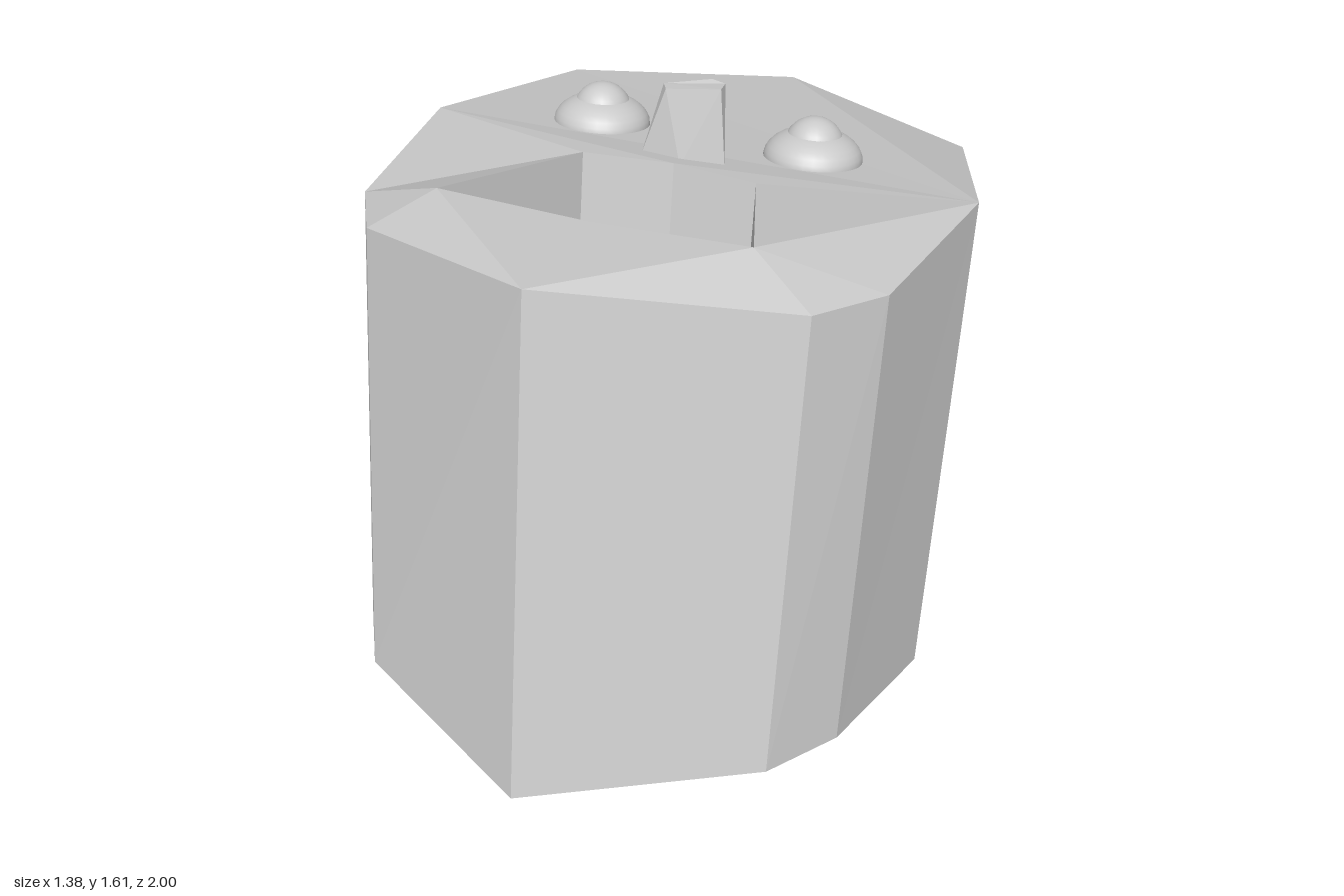
import * as THREE from 'three';

const grey = (flat = true) =>
  new THREE.MeshStandardMaterial({ color: 0xcccccc, flatShading: flat, side: flat ? THREE.DoubleSide : THREE.FrontSide });

// Flat-shaded mesh from named corner points; each face is a fan of point names
function facets(name, points, faces) {
  const pos = [];
  for (const face of faces) {
    const f = face.split(' ');
    for (let i = 1; i < f.length - 1; i++) pos.push(...points[f[0]], ...points[f[i]], ...points[f[i + 1]]);
  }
  const g = new THREE.BufferGeometry();
  g.setAttribute('position', new THREE.Float32BufferAttribute(pos, 3));
  g.computeVertexNormals();
  const m = new THREE.Mesh(g, grey());
  m.name = name;
  return m;
}

// Face outline, counter-clockwise from the chin, and the matching rear outline
const top = [
  [-0.1, 1.6, 0.74], [0.44, 1.5, 0.53], [0.57, 1.465, 0.36], [0.69, 1.42, -0.14], [0.58, 1.22, -0.75],
  [0.06, 1.23, -1], [-0.515, 1.27, -0.8], [-0.695, 1.4, -0.26], [-0.68, 1.435, 0.23], [-0.577, 1.48, 0.44],
];
const bottom = [
  [-0.1, 0.377, 1], [0.44, 0.385, 0.77], [0.57, 0.347, 0.59], [0.69, 0.19, 0.13], [0.47, 0.126, -0.52],
  [0.07, 0, -0.74], [-0.42, 0.12, -0.53], [-0.69, 0.16, 0.02], [-0.68, 0.317, 0.47], [-0.577, 0.364, 0.68],
];

export function createModel() {
  const group = new THREE.Group();

  // t = face outline, b = rear outline, M/N = inner post, r = mouth rim
  const p = { M: [-0.01, 0.19, 0.14], N: [-0.01, 1.41, -0.12] };
  top.forEach((v, i) => { p['t' + i] = v; p['b' + i] = bottom[i]; });

  // Mouth rim: upper lip r0-r2, lower lip r3-r5; f = its floor, sunk along the head
  const rim = [
    [-0.245, 1.45, -0.06], [-0.02, 1.455, -0.06], [0.19, 1.46, -0.015],
    [0.29, 1.57, 0.42], [-0.075, 1.565, 0.41], [-0.44, 1.555, 0.355],
  ];
  rim.forEach(([x, y, z], i) => {
    p['r' + i] = [x, y, z];
    p['f' + i] = [x, y - 0.73, z + 0.155];
  });

  // Faceted sides; the base closes only the chin half
  const sides = [], cap = [];
  for (let i = 0; i < 10; i++) {
    const j = (i + 1) % 10;
    sides.push(`b${i} b${j} t${j} t${i}`);
    if (i < 3 || i > 6) cap.push(`M b${j} b${i}`);
  }
  group.add(facets('headSides', p, sides));
  group.add(facets('headBase', p, cap));

  // Inner walls dividing the open rear half
  group.add(facets('innerWalls', p, [3, 5, 7].map((i) => `M b${i} t${i} N`)));

  // Face around the mouth opening
  group.add(facets('face', p, [
    't0 t1 r3', 't0 r3 r4', 't0 r4 r5', 't0 r5 t9', 't9 r5 t8', 't8 r5 r0', 't8 r0 t7',
    't1 t2 r3', 't2 t3 r3', 't3 r2 r3', 't3 r1 r2', 't7 r0 r1', 't7 r1 t3',
    't3 t4 t5', 't3 t5 t6', 't3 t6 t7',
  ]));

  // Deep mouth shaft with a floor
  const mouth = ['f1 f0 f5 f4', 'f1 f4 f3 f2'];
  for (let i = 0; i < 6; i++) {
    const j = (i + 1) % 6;
    mouth.push(`r${i} f${i} f${j} r${j}`);
  }
  group.add(facets('mouth', p, mouth));

  // Nose: ridge rising from the brow to a blunt tip
  const n = {
    P: [0, 1.34, -0.43],
    a: [-0.085, 1.585, -0.2], b: [0.03, 1.605, -0.215], c: [0.066, 1.605, -0.2],
    d: [0.066, 1.61, -0.16], e: [-0.07, 1.59, -0.165],
    l: [-0.125, 1.42, -0.14], m: [-0.02, 1.42, -0.11], r: [0.088, 1.42, -0.12],
  };
  group.add(facets('nose', n, [
    'P b a', 'P c b', 'a b c d e', 'P a l', 'a e l', 'P r c', 'c r d', 'e d m', 'e m l', 'd r m',
  ]));

  // Eyes: flattened dome with a smaller pupil dome on top
  for (const [name, x, y, z] of [['rightEye', -0.293, 1.375, -0.35], ['leftEye', 0.264, 1.385, -0.3]]) {
    const eye = new THREE.Group();
    eye.name = name;
    const ball = new THREE.Mesh(new THREE.SphereGeometry(0.122, 32, 16), grey(false));
    ball.name = 'eyeball';
    ball.scale.y = 0.6;
    const pupil = new THREE.Mesh(new THREE.SphereGeometry(0.075, 24, 16), grey(false));
    pupil.name = 'pupil';
    pupil.position.y = 0.027;
    eye.add(ball, pupil);
    eye.position.set(x, y, z);
    eye.rotation.x = -0.21;
    group.add(eye);
  }
  return group;
}
